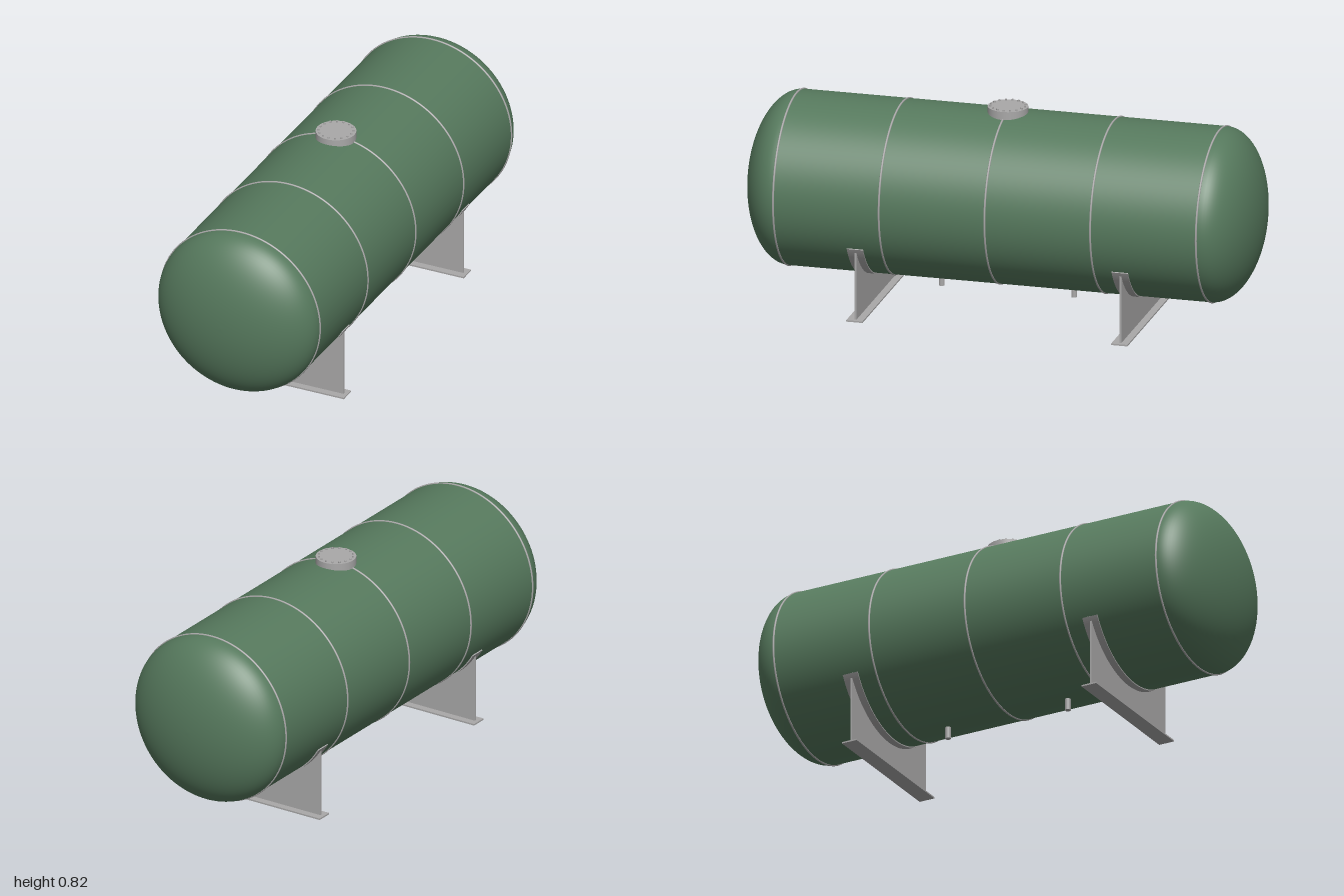
import * as THREE from 'three';

const R = 0.335;        // shell radius
const AXIS_Y = 0.456;   // height of the tank axis
const HALF = 0.83;      // half length of the straight shell
const DOME = 0.17;      // depth of each domed end

export function createModel() {
  const tank = new THREE.Group();
  tank.name = 'storageTank';
  const green = new THREE.MeshStandardMaterial({ name: 'green paint', color: 0x56795d });
  const steel = new THREE.MeshStandardMaterial({ name: 'grey steel', color: 0xa9a8a8 });

  const add = (name, geometry, material, x = 0, y = 0, z = 0, parent = tank) => {
    const mesh = new THREE.Mesh(geometry, material);
    mesh.name = name;
    mesh.position.set(x, y, z);
    parent.add(mesh);
    return mesh;
  };

  // Straight shell
  const shell = add('shell', new THREE.CylinderGeometry(R, R, HALF * 2, 96, 1, true), green, 0, AXIS_Y);
  shell.rotation.x = Math.PI / 2;

  // Semi-elliptical ends
  const profile = [];
  for (let i = 0; i <= 24; i++) {
    const a = (i / 24) * Math.PI / 2;
    profile.push(new THREE.Vector2(i === 24 ? 0 : R * Math.cos(a), DOME * Math.sin(a)));
  }
  const domeGeometry = new THREE.LatheGeometry(profile, 96);
  for (const s of [1, -1]) {
    const dome = add(s > 0 ? 'frontDome' : 'backDome', domeGeometry, green, 0, AXIS_Y, s * HALF);
    dome.rotation.x = s * Math.PI / 2;
  }

  // Weld seams around the shell
  const seamGeometry = new THREE.TorusGeometry(R, 0.004, 8, 96);
  for (let i = -2; i <= 2; i++) add('weldSeam', seamGeometry, steel, 0, AXIS_Y, i * HALF / 2);

  // Manway with a ring of bolts
  const manway = new THREE.Group();
  manway.name = 'manway';
  tank.add(manway);
  add('manwayFlange', new THREE.CylinderGeometry(0.077, 0.077, 0.044, 48), steel, 0, 0.792, 0, manway);
  const boltGeometry = new THREE.CylinderGeometry(0.004, 0.004, 0.008, 8);
  for (let i = 0; i < 16; i++) {
    const a = (i / 16) * Math.PI * 2;
    add('bolt', boltGeometry, steel, 0.066 * Math.cos(a), 0.816, 0.066 * Math.sin(a), manway);
  }

  // Drain nozzles under the shell
  for (const z of [0.26, -0.26]) {
    add('drainNozzle', new THREE.CylinderGeometry(0.011, 0.011, 0.06, 24), steel, 0, 0.105, z);
  }

  // Saddle web: a plate with its top cut to the shell
  const halfWidth = 0.285;
  const webAngle = Math.acos(halfWidth / R);
  const web = new THREE.Shape();
  web.moveTo(-halfWidth, 0.004);
  web.lineTo(halfWidth, 0.004);
  web.lineTo(halfWidth, AXIS_Y - R * Math.sin(webAngle));
  web.absarc(0, AXIS_Y, R, -webAngle, -Math.PI + webAngle, true);
  web.closePath();
  const webGeometry = new THREE.ExtrudeGeometry(web, { depth: 0.008, bevelEnabled: false, curveSegments: 48 });
  webGeometry.translate(0, 0, -0.004);

  // Curved wear plate between web and shell
  const padAngle = Math.asin(0.166 / R);
  const pad = new THREE.Shape();
  pad.absarc(0, AXIS_Y, R + 0.004, -Math.PI + padAngle, -padAngle, false);
  pad.absarc(0, AXIS_Y, R - 0.002, -padAngle, -Math.PI + padAngle, true);
  pad.closePath();
  const padGeometry = new THREE.ExtrudeGeometry(pad, { depth: 0.064, bevelEnabled: false, curveSegments: 48 });
  padGeometry.translate(0, 0, -0.032);

  for (const z of [0.52, -0.52]) {
    const saddle = new THREE.Group();
    saddle.name = z > 0 ? 'frontSaddle' : 'backSaddle';
    saddle.position.z = z;
    tank.add(saddle);
    add('saddleWeb', webGeometry, steel, 0, 0, 0, saddle);
    add('wearPlate', padGeometry, steel, 0, 0, 0, saddle);
    add('basePlate', new THREE.BoxGeometry(0.6, 0.006, 0.064), steel, 0, 0.003, 0, saddle);
  }

  return tank;
}
